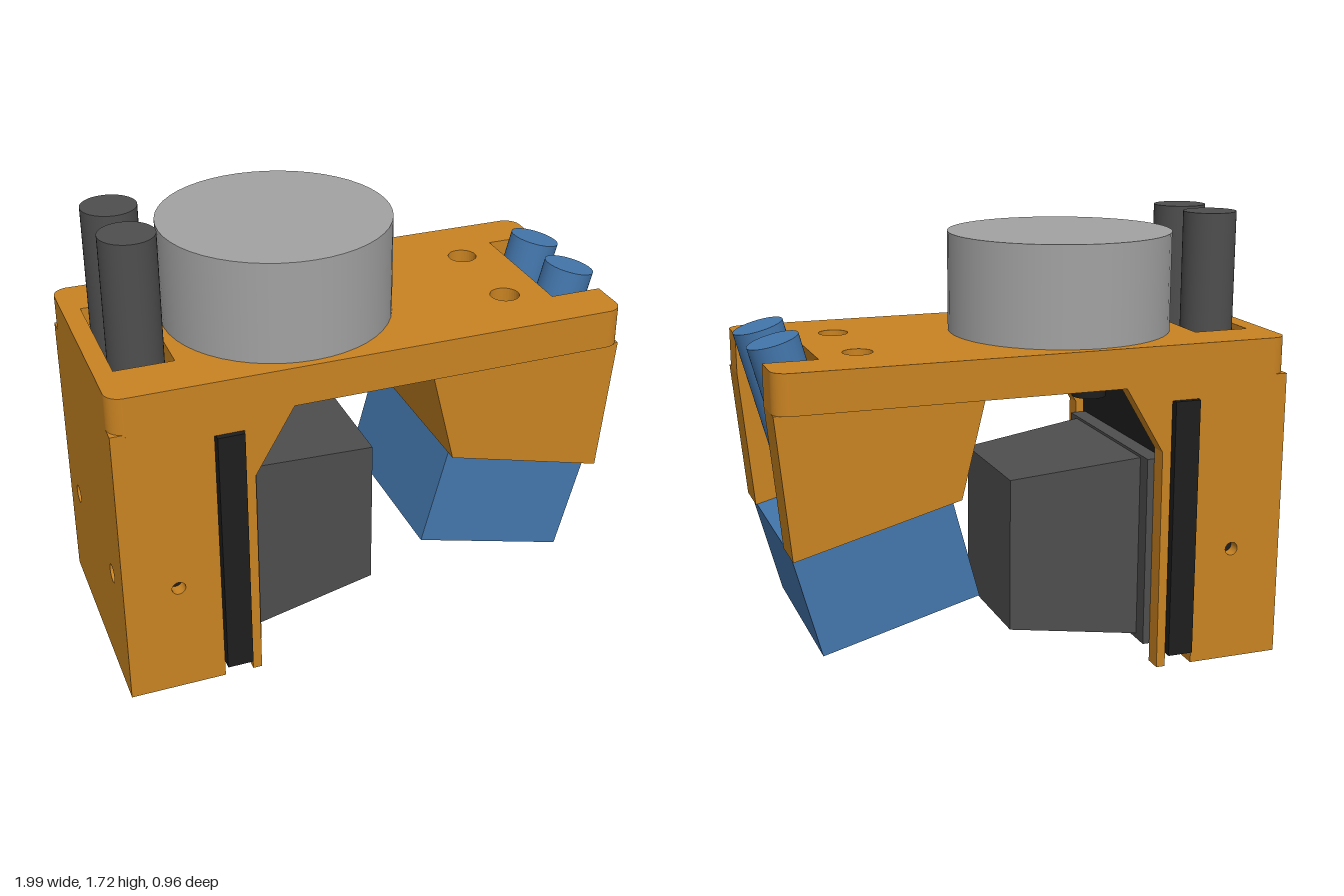
import * as THREE from 'three';

const mat = (name, color) => {
  const m = new THREE.MeshStandardMaterial({ color });
  m.name = name;
  return m;
};

export function createModel() {
  const orange = mat('orange housing', 0xc98322);
  const blue = mat('blue', 0x4376ac);
  const grey = mat('light grey', 0xa2a2a2);
  const dark = mat('dark grey', 0x4e4e4e);
  const black = mat('black', 0x1e1e1e);
  const group = new THREE.Group();

  const add = (name, geo, material, x = 0, y = 0, z = 0) => {
    const m = new THREE.Mesh(geo, material);
    m.name = name;
    m.position.set(x, y, z);
    group.add(m);
    return m;
  };
  // box given by its extents
  const box = (name, material, x0, x1, y0, y1, z0, z1) =>
    add(name, new THREE.BoxGeometry(x1 - x0, y1 - y0, z1 - z0), material,
      (x0 + x1) / 2, (y0 + y1) / 2, (z0 + z1) / 2);
  const poly = pts => new THREE.Shape(pts.map(p => new THREE.Vector2(...p)));
  const circle = (x, y, r) => new THREE.Path().absarc(x, y, r, 0, Math.PI * 2, true);
  const extrude = (shape, depth) =>
    new THREE.ExtrudeGeometry(shape, { depth, bevelEnabled: false, curveSegments: 16 });
  const cyl = (r, h) => new THREE.CylinderGeometry(r, r, h, 48);

  // top plate: rounded corners, end notch, tube opening, screw holes
  const W = 0.46, R = 0.06, N = 0.27;
  const s = new THREE.Shape();
  s.moveTo(-1 + R, -W);
  s.lineTo(0.96 - R, -W);
  s.absarc(0.96 - R, -W + R, R, -Math.PI / 2, 0, false);
  s.lineTo(0.96, -N);
  s.lineTo(0.72, -N);
  s.lineTo(0.72, N);
  s.lineTo(0.96, N);
  s.absarc(0.96 - R, W - R, R, 0, Math.PI / 2, false);
  s.lineTo(-1 + R, W);
  s.absarc(-1 + R, W - R, R, Math.PI / 2, Math.PI, false);
  s.lineTo(-1, -W + R);
  s.absarc(-1 + R, -W + R, R, Math.PI, Math.PI * 1.5, false);
  s.holes.push(poly([[-0.93, -0.26], [-0.93, 0.26], [-0.71, 0.26], [-0.71, -0.26]]));
  const bolts = [[-0.25, 0.31], [-0.25, -0.31], [0.06, 0], [-0.56, 0]];
  for (const [x, z] of bolts) s.holes.push(circle(x, z, 0.088));
  for (const z of [-0.19, 0.19]) s.holes.push(circle(0.6, z, 0.056));
  add('topPlate', extrude(s, 0.15).rotateX(-Math.PI / 2), orange, 0, 1.12, 0);

  // drum and the bolts under it
  add('drum', cyl(0.43, 0.38), grey, -0.25, 1.46, 0);
  for (const [x, z] of bolts) add('drumBolt', cyl(0.063, 0.2), black, x, 1.17, z);

  // housing side walls with a slot for the black plate and a gusset
  for (const side of [-1, 1]) {
    const wall = poly([[-0.95, 0], [-0.635, 0], [-0.635, 1.06], [-0.525, 1.06], [-0.525, 0],
      [-0.49, 0], [-0.49, 0.865], [-0.34, 1.12], [-0.95, 1.12]]);
    wall.holes.push(circle(-0.795, 0.45, 0.026));
    add('sideWall', extrude(wall, 0.07), orange, 0, 0, side > 0 ? 0.39 : -0.46);
    add('sideScrew', cyl(0.03, 0.02).rotateX(Math.PI / 2), black, -0.795, 0.45, side * 0.4);
    box('innerLip', orange, -0.665, -0.635, 0, 1.12, ...(side > 0 ? [0.34, 0.39] : [-0.39, -0.34]));
  }

  // back wall with two screw holes
  const back = poly([[-W, 0], [W, 0], [W, 1.13], [-W, 1.13]]);
  for (const z of [-0.285, 0.285]) {
    back.holes.push(circle(z, 0.45, 0.036));
    add('backScrew', cyl(0.04, 0.02).rotateZ(Math.PI / 2), black, -0.965, 0.45, z);
  }
  add('backWall', extrude(back, 0.05).rotateY(Math.PI / 2), orange, -1, 0, 0);

  // enclosed core, upright tubes and sliding plate
  box('innerCore', dark, -0.95, -0.69, 0.06, 1.115, -0.385, 0.385);
  for (const z of [-0.132, 0.132]) add('darkTube', cyl(0.102, 0.62), dark, -0.82, 1.405, z);
  box('slidingPlate', black, -0.63, -0.53, 0.05, 1.06, -0.482, 0.482);

  // tapered box on a flange
  box('taperedBoxFlange', dark, -0.53, -0.465, 0.07, 0.82, -0.385, 0.385);
  const taper = new THREE.BoxGeometry(0.505, 0.72, 0.64);
  const p = taper.attributes.position;
  for (let i = 0; i < p.count; i++) {
    if (p.getX(i) > 0) p.setXYZ(i, p.getX(i), p.getY(i) * 0.835, p.getZ(i) * 0.8);
  }
  taper.computeVertexNormals();
  add('taperedBox', taper, dark, -0.2125, 0.45, 0);

  // arm: two cheeks joined by a block with a slanted recess
  const cheek = poly([[0.2, 1.12], [0.29, 0.755], [0.91, 0.59], [0.96, 1.12]]);
  for (const z of [N, -0.44]) add('armCheek', extrude(cheek, 0.44 - N), orange, 0, 0, z);
  const middle = poly([[0.2, 1.12], [0.29, 0.755], [0.595, 0.674], [0.76, 1.27], [0.72, 1.27], [0.72, 1.12]]);
  add('armBlock', extrude(middle, 2 * N), orange, 0, 0, -N);

  // tilted blue box and its two tubes
  const tilt = -Math.PI / 12;
  const blueBox = add('blueBox', new THREE.BoxGeometry(0.617, 0.41, 0.74), blue, 0.554, 0.473, 0);
  blueBox.rotation.z = tilt;
  for (const z of [-0.143, 0.143]) {
    const t = add('blueTube', cyl(0.096, 0.76), blue, 0.798, 0.957, z);
    t.rotation.z = tilt;
  }
  return group;
}
